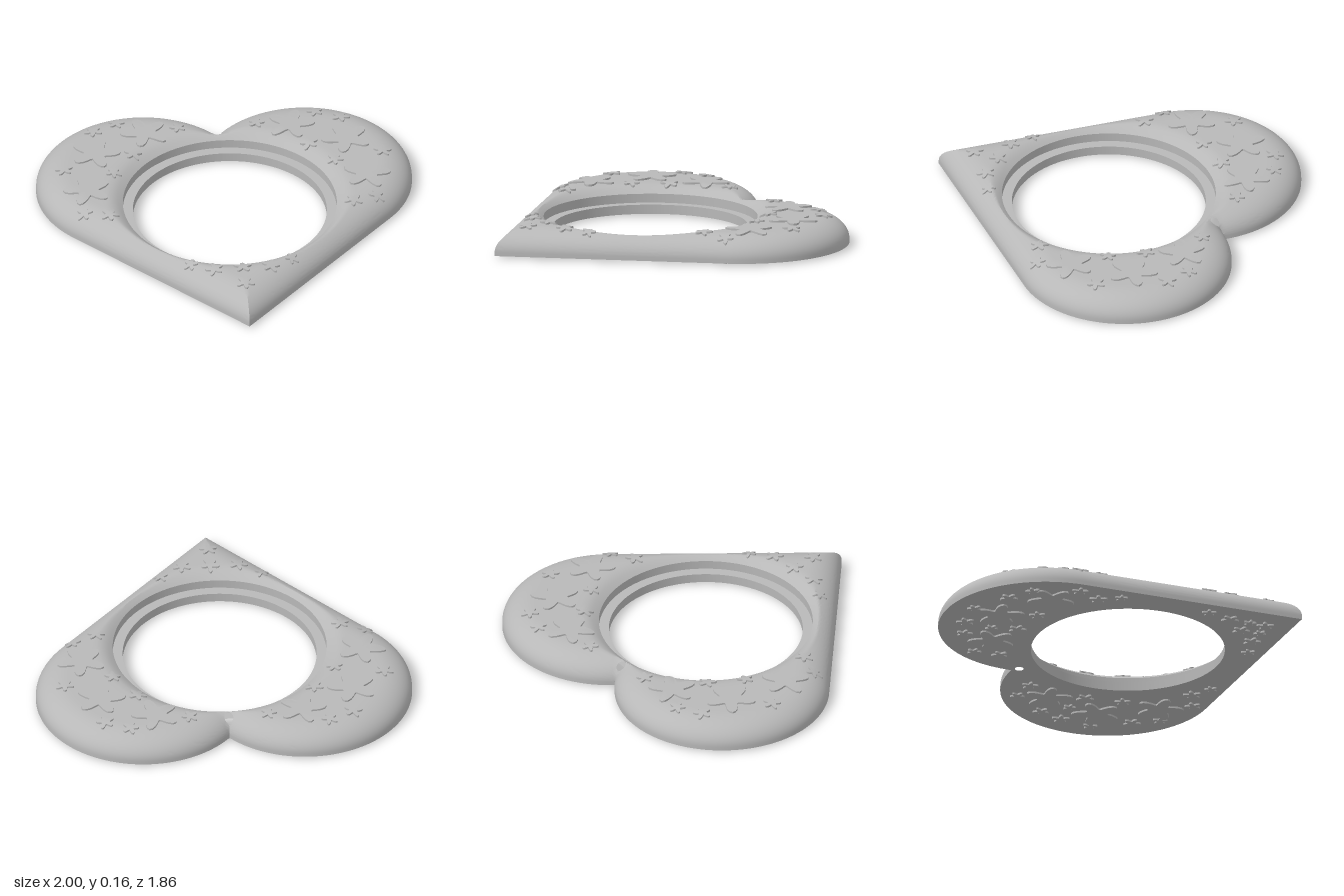
import * as THREE from 'three';
import { toCreasedNormals } from 'three/addons/utils/BufferGeometryUtils.js';

// Heart plan: two lobes, straight sides meeting at the tip, round window
const LOBE = { x: 0.43, z: -0.365, r: 0.57 };
const TIP = 0.93, CZ = -0.07, WINDOW = 0.515, RECESS = 0.568;
const BASE = 0.01, LEDGE = 0.06, EDGE = 0.03, CROWN = 0.148;
const RAYS = 360, STEPS = 24;
const PEG = { ray: RAYS / 2, step: 8, r: 0.024, z: CZ - 0.624, reach: 0.05 };

// Straight side: angle from the axis and tangent point on the lobe
const toLobe = Math.hypot(LOBE.x, TIP - LOBE.z);
const sideAngle = Math.atan2(LOBE.x, TIP - LOBE.z) + Math.asin(LOBE.r / toLobe);
const tangent = Math.sqrt(toLobe ** 2 - LOBE.r ** 2);
const tangentTheta = Math.atan2(tangent * Math.sin(sideAngle), TIP - tangent * Math.cos(sideAngle) - CZ);

// Distance from the window centre to the outline, theta measured from +z
function outlineRadius(theta) {
  const t = theta > Math.PI ? 2 * Math.PI - theta : theta;
  if (t < tangentTheta) return (TIP - CZ) * Math.sin(sideAngle) / Math.sin(t + sideAngle);
  const dz = LOBE.z - CZ;
  const along = LOBE.x * Math.sin(t) + dz * Math.cos(t);
  return along + Math.sqrt(along ** 2 - LOBE.x ** 2 - dz ** 2 + LOBE.r ** 2);
}

const outline = [];
for (let i = 0; i < RAYS; i++) {
  const t = i / RAYS * Math.PI * 2, r = outlineRadius(t);
  outline.push([r * Math.sin(t), CZ + r * Math.cos(t)]);
}

function edgeDistance(x, z) {
  let best = Infinity;
  for (let i = 0; i < RAYS; i++) {
    const [ax, az] = outline[i], [bx, bz] = outline[(i + 1) % RAYS];
    const dx = bx - ax, dz = bz - az;
    const k = THREE.MathUtils.clamp(((x - ax) * dx + (z - az) * dz) / (dx * dx + dz * dz), 0, 1);
    best = Math.min(best, Math.hypot(x - ax - k * dx, z - az - k * dz));
  }
  return best;
}

// Pillowed top: rounded at the outline, softly falling to the window
function topHeight(x, z) {
  const d = Math.min(edgeDistance(x, z) / 0.17, 1);
  const e = Math.min(Math.max(Math.hypot(x, z - CZ) - RECESS, 0) / 0.09, 1);
  const outer = EDGE + (CROWN - EDGE) * Math.sqrt(1 - (1 - d) ** 2);
  return Math.min(outer, CROWN - 0.04 * (1 - e) ** 2);
}

function makeGeometry(positions, index) {
  const g = new THREE.BufferGeometry();
  g.setAttribute('position', new THREE.Float32BufferAttribute(positions, 3));
  g.setIndex(index);
  return toCreasedNormals(g, 0.6);
}

// Closed cross-section swept round the window, with a small hanging hole
function bodyGeometry() {
  const positions = [], index = [];
  const rows = 3 + 2 * (STEPS + 1);
  const topRow = k => 3 + k, bottomRow = k => rows - 1 - k;
  for (let i = 0; i < RAYS; i++) {
    const t = i / RAYS * Math.PI * 2, sx = Math.sin(t), cz = Math.cos(t);
    const ring = (r, y) => positions.push(r * sx, y, CZ + r * cz);
    ring(WINDOW, BASE);
    ring(WINDOW, LEDGE);
    ring(RECESS, LEDGE);
    const top = [], R = outlineRadius(t);
    for (let k = 0; k <= STEPS; k++) {
      const r = RECESS + (R - RECESS) * Math.sin(Math.PI / 2 * k / STEPS);
      let x = r * sx, z = CZ + r * cz;
      // Open the grid around the hanging hole
      const di = Math.abs(i - PEG.ray), dk = Math.abs(k - PEG.step);
      const p = Math.hypot(x, z - PEG.z);
      if (p < PEG.reach && p > 1e-4) {
        const q = Math.max(di, dk) <= 2 ? PEG.r : PEG.r + (1 - PEG.r / PEG.reach) * p;
        x *= q / p;
        z = PEG.z + (z - PEG.z) * q / p;
      }
      top.push([x, k === STEPS ? EDGE : topHeight(x, z), z]);
    }
    top.forEach(p => positions.push(...p));
    top.reverse().forEach(p => positions.push(p[0], BASE, p[2]));
  }
  const id = (i, j) => (i % RAYS) * rows + (j % rows);
  const quad = (a, b, c, d) => index.push(a, b, c, a, c, d);
  for (let i = 0; i < RAYS; i++) {
    const nearRay = i >= PEG.ray - 2 && i < PEG.ray + 2;
    for (let j = 0; j < rows; j++) {
      const onTop = j >= topRow(PEG.step - 2) && j < topRow(PEG.step + 2);
      const onBottom = j >= bottomRow(PEG.step + 2) && j < bottomRow(PEG.step - 2);
      if (nearRay && (onTop || onBottom)) continue;
      quad(id(i, j), id(i, j + 1), id(i + 1, j + 1), id(i + 1, j));
    }
  }
  // Wall of the hanging hole
  const loop = [];
  for (let n = -2; n < 2; n++) loop.push([n, -2]);
  for (let n = -2; n < 2; n++) loop.push([2, n]);
  for (let n = 2; n > -2; n--) loop.push([n, 2]);
  for (let n = 2; n > -2; n--) loop.push([-2, n]);
  loop.forEach(([a, b], n) => {
    const [c, d] = loop[(n + 1) % loop.length];
    const up = (u, v) => id(PEG.ray + u, topRow(PEG.step + v));
    const down = (u, v) => id(PEG.ray + u, bottomRow(PEG.step + v));
    quad(up(a, b), up(c, d), down(c, d), down(a, b));
  });
  return makeGeometry(positions, index);
}

// Five-lobed flower plate draped on the top or lying under the base
function flowerGeometry(cx, cz, size, turn, under) {
  const n = 50, scales = [0.35, 0.7, 1, 1];
  const height = (x, z, sunk) => under
    ? (sunk ? BASE + 0.004 : 0)
    : topHeight(x, z) + (sunk ? -0.006 : 0.01);
  const positions = [cx, height(cx, cz, false), cz], index = [];
  scales.forEach((s, row) => {
    for (let i = 0; i < n; i++) {
      const a = i / n * Math.PI * 2;
      const r = size * s * (0.72 + 0.28 * Math.cos(5 * a));
      const x = cx + r * Math.sin(a + turn), z = cz + r * Math.cos(a + turn);
      positions.push(x, height(x, z, row === 3), z);
    }
  });
  const tri = (a, b, c) => under ? index.push(a, c, b) : index.push(a, b, c);
  for (let i = 0; i < n; i++) {
    const k = (i + 1) % n;
    tri(0, 1 + i, 1 + k);
    for (let row = 0; row < 3; row++) {
      const p = 1 + row * n, q = p + n;
      tri(p + i, q + i, q + k);
      tri(p + i, q + k, p + k);
    }
  }
  return makeGeometry(positions, index);
}

export function createModel() {
  const group = new THREE.Group();
  const grey = new THREE.MeshStandardMaterial({ color: 0xb8b8b8 });
  grey.name = 'grey';
  const add = (name, geometry) => {
    const mesh = new THREE.Mesh(geometry, grey);
    mesh.name = name;
    group.add(mesh);
  };
  add('heartFrame', bodyGeometry());

  // Flowers: x, z, size; mirrored unless on the centre line
  const flowers = [
    [0.39, -0.69, 0.13], [0.67, -0.53, 0.135], [0.745, -0.2, 0.13],
    [0.65, 0.03, 0.05], [0.85, -0.4, 0.05], [0.59, -0.345, 0.045],
    [0.47, -0.51, 0.05], [0.66, -0.73, 0.05], [0.53, -0.79, 0.045],
    [0.21, -0.72, 0.045], [0.78, -0.02, 0.045],
    [0.15, 0.58, 0.05], [0.27, 0.51, 0.04], [0, 0.58, 0.05], [0, 0.72, 0.05],
  ];
  const underOnly = [
    [0.3, -0.83, 0.04], [0.88, -0.25, 0.04], [0.07, 0.66, 0.035],
    [0.8, -0.62, 0.04], [0.62, 0.15, 0.035], [0.54, -0.63, 0.035],
  ];
  const place = (list, under) => list.forEach(([x, z, size], n) => {
    for (const side of x === 0 ? [1] : [1, -1]) {
      add(under ? 'baseFlower' : 'topFlower', flowerGeometry(side * x, z, size, side * (n * 0.7 + 0.3), under));
    }
  });
  place(flowers, false);
  place([...flowers, ...underOnly], true);
  return group;
}
